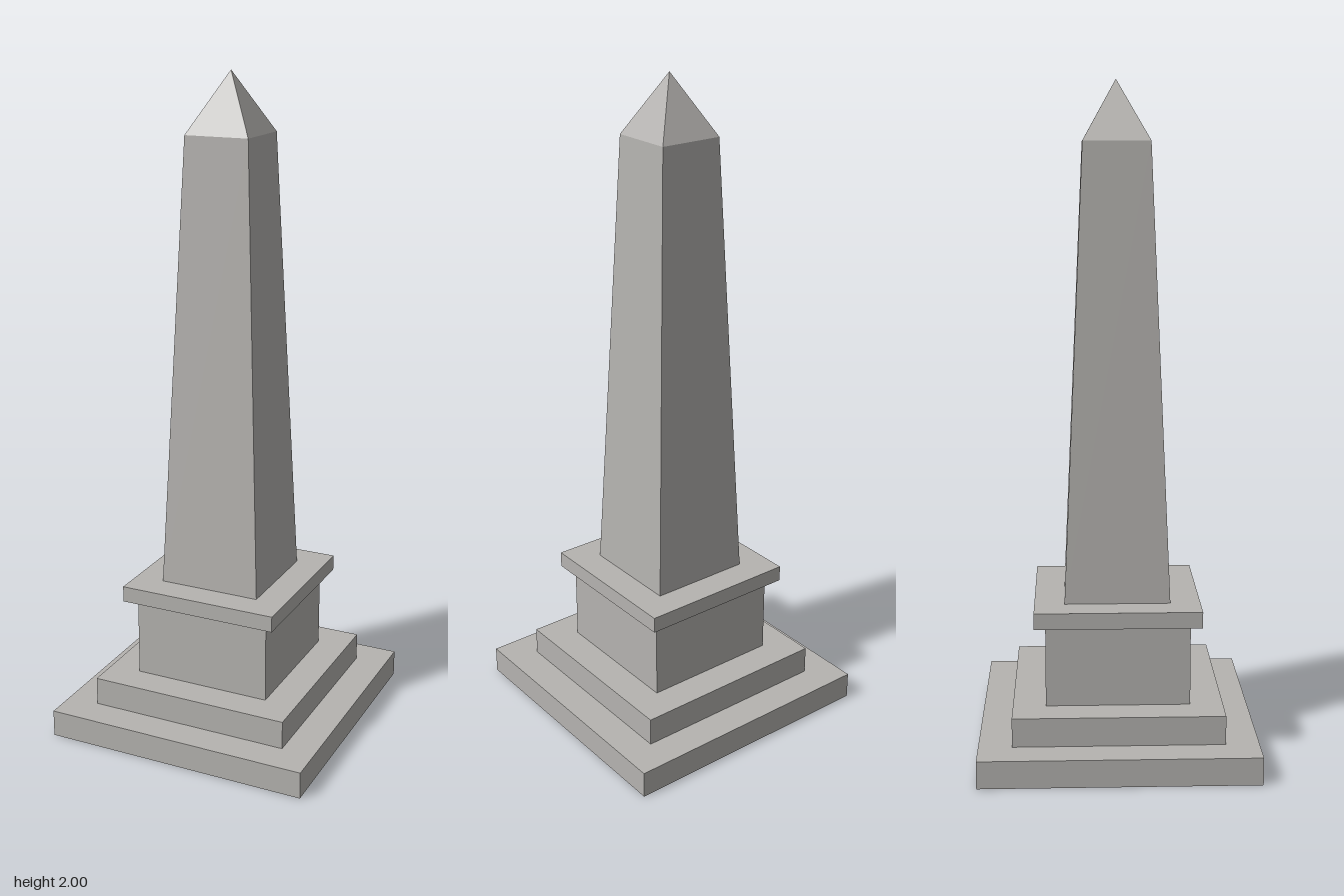
import * as THREE from 'three';

export function createModel() {
  const model = new THREE.Group();
  model.name = 'obelisk';
  const stone = new THREE.MeshStandardMaterial({ color: 0xb5b3b0, side: THREE.DoubleSide });
  stone.name = 'grey stone';

  function add(name, geometry, y) {
    const mesh = new THREE.Mesh(geometry, stone);
    mesh.name = name;
    mesh.position.y = y;
    model.add(mesh);
    return mesh;
  }

  // Square slab given by its half width and its lower and upper heights
  function slab(name, half, y0, y1) {
    return add(name, new THREE.BoxGeometry(half * 2, y1 - y0, half * 2), (y0 + y1) / 2);
  }

  // Four-sided tapering part with flat faces
  function taper(name, bottomHalf, topHalf, y0, y1) {
    const geometry = new THREE.CylinderGeometry(
      topHalf * Math.SQRT2, bottomHalf * Math.SQRT2, y1 - y0, 4, 1, true
    ).rotateY(Math.PI / 4).toNonIndexed();
    geometry.computeVertexNormals();
    return add(name, geometry, (y0 + y1) / 2);
  }

  // Hollow base slab: drop the two triangles of its underside
  const base = slab('baseSlab', 0.412, 0, 0.083).geometry;
  const index = Array.from(base.index.array);
  index.splice(18, 6);
  base.setIndex(index);
  base.clearGroups();

  // Stepped pedestal
  slab('step', 0.313, 0.083, 0.17);
  slab('pedestal', 0.215, 0.17, 0.417);
  slab('cornice', 0.248, 0.417, 0.466);

  // Shaft and pointed cap
  taper('shaft', 0.158, 0.099, 0.466, 1.823);
  taper('pyramidCap', 0.099, 0, 1.823, 2);

  return model;
}
